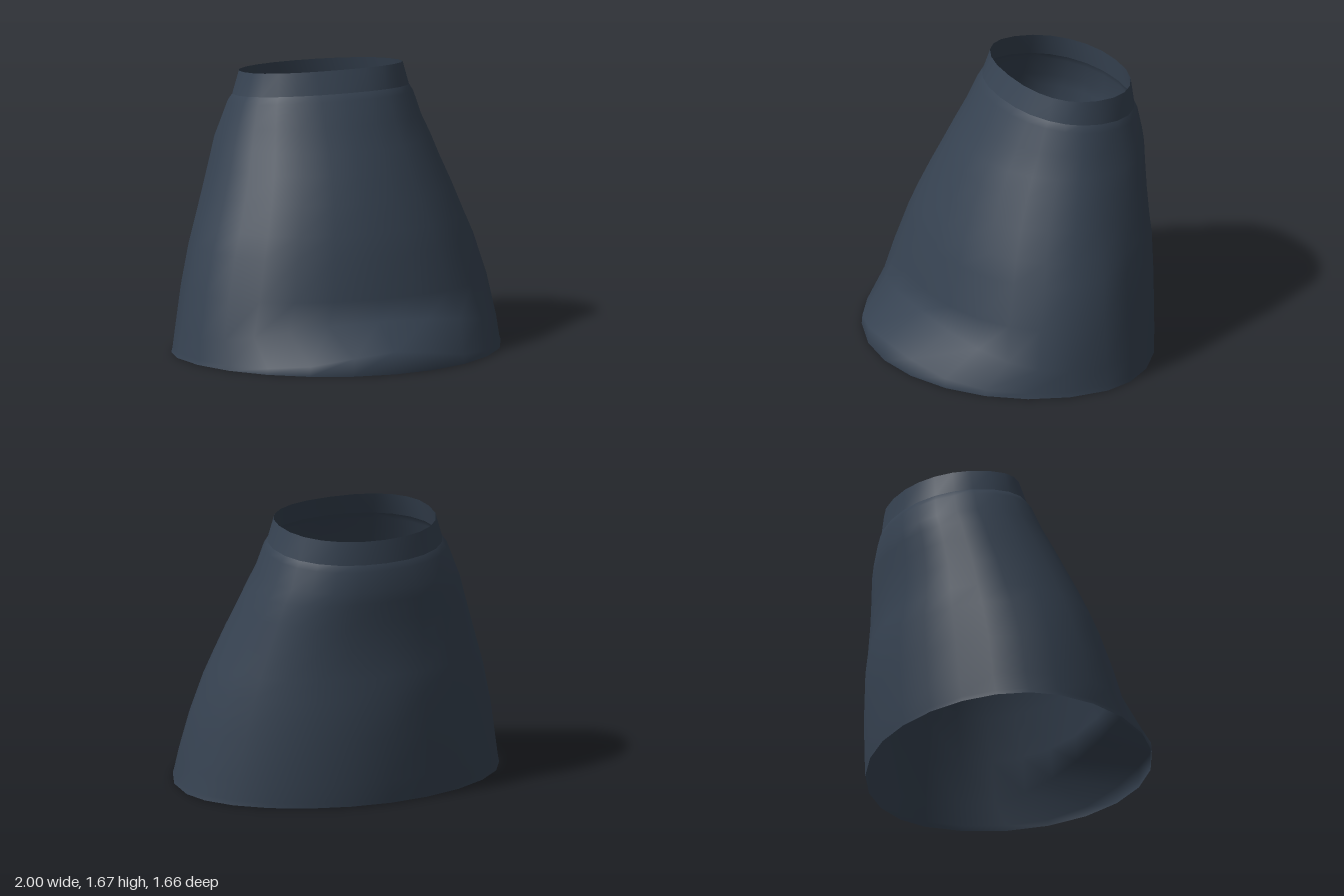
import * as THREE from 'three';

const SEGMENTS = 24;

// Each ring: y, z and square hold [front, back] values, w is the half width,
// mid the z of the widest point, rise how sharply the ring climbs to its front,
// and shift its sideways offset
const bodyRings = [
  { y: [0, 0], w: 1.0, z: [0.83, -0.81], mid: -0.11, square: [1.96, 1.93] },
  { y: [0.135, 0.03], w: 0.992, z: [0.83, -0.812], mid: -0.11, square: [1.94, 1.93], rise: 16 },
  { y: [0.27, 0.14], w: 0.97, z: [0.59, -0.82], mid: -0.12, square: [2.4, 1.95], rise: 6 },
  { y: [0.40, 0.40], w: 0.925, z: [0.56, -0.826], mid: -0.13, square: [2.2, 1.98] },
  { y: [0.64, 0.64], w: 0.86, z: [0.495, -0.82], mid: -0.16, square: [2.1, 2.05] },
  { y: [0.77, 0.77], w: 0.81, z: [0.45, -0.795], mid: -0.18, square: [2.08, 2.2] },
  { y: [0.94, 0.94], w: 0.75, z: [0.38, -0.778], mid: -0.20, square: [2.0, 2.35] },
  { y: [1.10, 1.10], w: 0.69, z: [0.305, -0.775], mid: -0.24, square: [1.97, 2.42] },
  { y: [1.22, 1.22], w: 0.65, z: [0.24, -0.78], mid: -0.27, square: [1.97, 2.4] },
  { y: [1.36, 1.29], w: 0.605, z: [0.16, -0.78], mid: -0.30, square: [2.0, 2.35] },
  { y: [1.50, 1.41], w: 0.56, z: [0.085, -0.767], mid: -0.32, square: [2.1, 2.2], shift: 0.005 },
  { y: [1.54, 1.45], w: 0.532, z: [0.05, -0.752], mid: -0.33, square: [2.2, 2.15], shift: 0.008 },
];

// The collar starts on the body's top ring
const collarRings = [
  bodyRings.at(-1),
  { y: [1.67, 1.59], w: 0.492, z: [-0.01, -0.738], mid: -0.33, square: [2.35, 2.15], shift: 0.01 },
];

// Open tube through the rings, each made of a front and a back half oval
function loft(rings) {
  const positions = [];
  const indices = [];
  rings.forEach(({ y, w, z: [front, back], mid, square, rise = 1, shift = 0 }, r) => {
    for (let i = 0; i < SEGMENTS; i++) {
      const angle = (i / SEGMENTS) * Math.PI * 2;
      const s = Math.sin(angle);
      const c = Math.cos(angle);
      const e = 2 / (c > 0 ? square[0] : square[1]);
      const x = shift + w * Math.sign(s) * Math.abs(s) ** e;
      const z = mid + (c > 0 ? front - mid : mid - back) * Math.sign(c) * Math.abs(c) ** e;
      const t = THREE.MathUtils.clamp((z - back) / (front - back), 0, 1);
      positions.push(x, THREE.MathUtils.lerp(y[1], y[0], t ** rise), z);
      if (r < rings.length - 1) {
        const a = r * SEGMENTS + i;
        const b = r * SEGMENTS + ((i + 1) % SEGMENTS);
        indices.push(a, b, b + SEGMENTS, a, b + SEGMENTS, a + SEGMENTS);
      }
    }
  });
  const geometry = new THREE.BufferGeometry();
  geometry.setAttribute('position', new THREE.Float32BufferAttribute(positions, 3));
  geometry.setIndex(indices);
  geometry.computeVertexNormals();
  return geometry;
}

export function createModel() {
  const model = new THREE.Group();
  model.name = 'openSleeve';
  const slate = new THREE.MeshStandardMaterial({ color: 0x364251, side: THREE.DoubleSide });
  slate.name = 'slate blue';

  // Flared body with the projecting lip at the lower front
  const body = new THREE.Mesh(loft(bodyRings), slate);
  body.name = 'body';

  // Short tilted collar around the upper opening
  const collar = new THREE.Mesh(loft(collarRings), slate);
  collar.name = 'collar';

  model.add(body, collar);
  return model;
}
